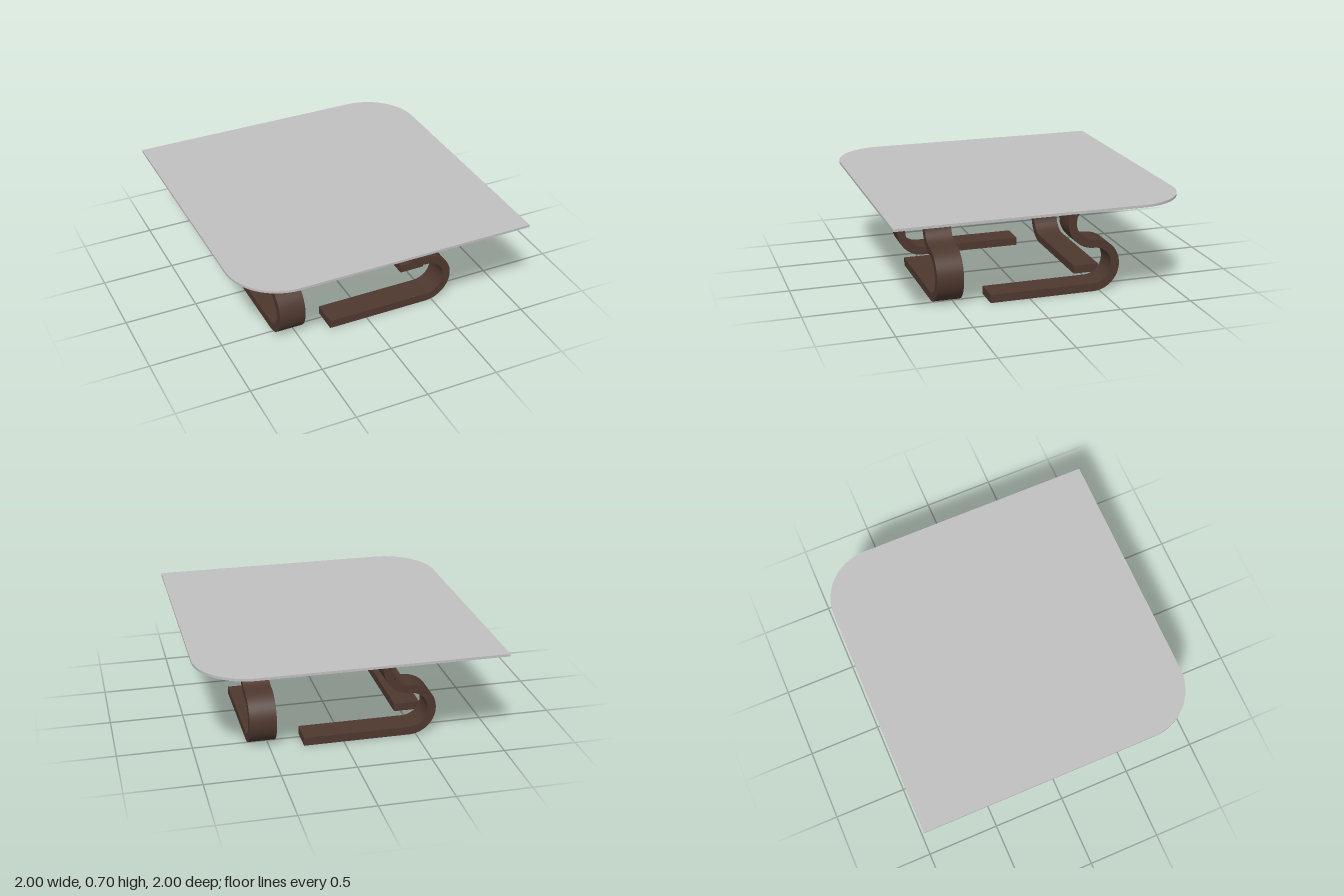
import * as THREE from 'three';
import { toCreasedNormals } from 'three/addons/utils/BufferGeometryUtils.js';

const wood = new THREE.MeshStandardMaterial({ name: 'dark wood', color: 0x4e382f });
const glass = new THREE.MeshStandardMaterial({ name: 'grey glass', color: 0xc0c0c0 });

const T = 0.057;             // band thickness
const R = 0.155;             // bend radius on the band's centre line
const H = 4 * R + T;         // leg height
const CX = 0.453;            // x of both bend centres
const WIDTH = 0.182;         // band width

// S-shaped band: top tab, upper bend, lower bend, long foot bar
function legGeometry() {
  const outer = R + T / 2, inner = R - T / 2;
  const low = outer, high = H - outer;
  const up = Math.PI / 2, down = -Math.PI / 2;
  const s = new THREE.Shape();
  s.moveTo(0.635, H);
  s.lineTo(CX, H);
  s.absarc(CX, high, outer, up, 3 * up, false);
  s.absarc(CX, low, inner, up, down, true);
  s.lineTo(-0.272, T);
  s.lineTo(-0.272, 0);
  s.lineTo(CX, 0);
  s.absarc(CX, low, outer, down, up, false);
  s.absarc(CX, high, inner, 3 * up, up, true);
  s.lineTo(0.635, H - T);
  s.closePath();
  const g = new THREE.ExtrudeGeometry(s, { depth: WIDTH, bevelEnabled: false, curveSegments: 24 });
  g.translate(0, 0, CX);
  return toCreasedNormals(g, 0.6);
}

// Square top with two opposite corners rounded
function topGeometry() {
  const r = 0.36;
  const s = new THREE.Shape();
  s.moveTo(1, -1);
  s.lineTo(1, 1 - r);
  s.absarc(1 - r, 1 - r, r, 0, Math.PI / 2, false);
  s.lineTo(-1, 1);
  s.lineTo(-1, r - 1);
  s.absarc(r - 1, r - 1, r, Math.PI, 1.5 * Math.PI, false);
  s.closePath();
  const g = new THREE.ExtrudeGeometry(s, { depth: 0.017, bevelEnabled: false, curveSegments: 24 });
  g.rotateX(-Math.PI / 2);
  g.translate(0, H + 0.002, 0);
  return toCreasedNormals(g, 0.6);
}

export function createModel() {
  const model = new THREE.Group();
  model.name = 'coffeeTable';

  const top = new THREE.Mesh(topGeometry(), glass);
  top.name = 'tableTop';
  model.add(top);

  // Four legs in a pinwheel
  const geometry = legGeometry();
  ['frontLeg', 'leftLeg', 'backLeg', 'rightLeg'].forEach((name, i) => {
    const leg = new THREE.Mesh(geometry, wood);
    leg.name = name;
    leg.rotation.y = i * Math.PI / 2;
    model.add(leg);
  });
  return model;
}
